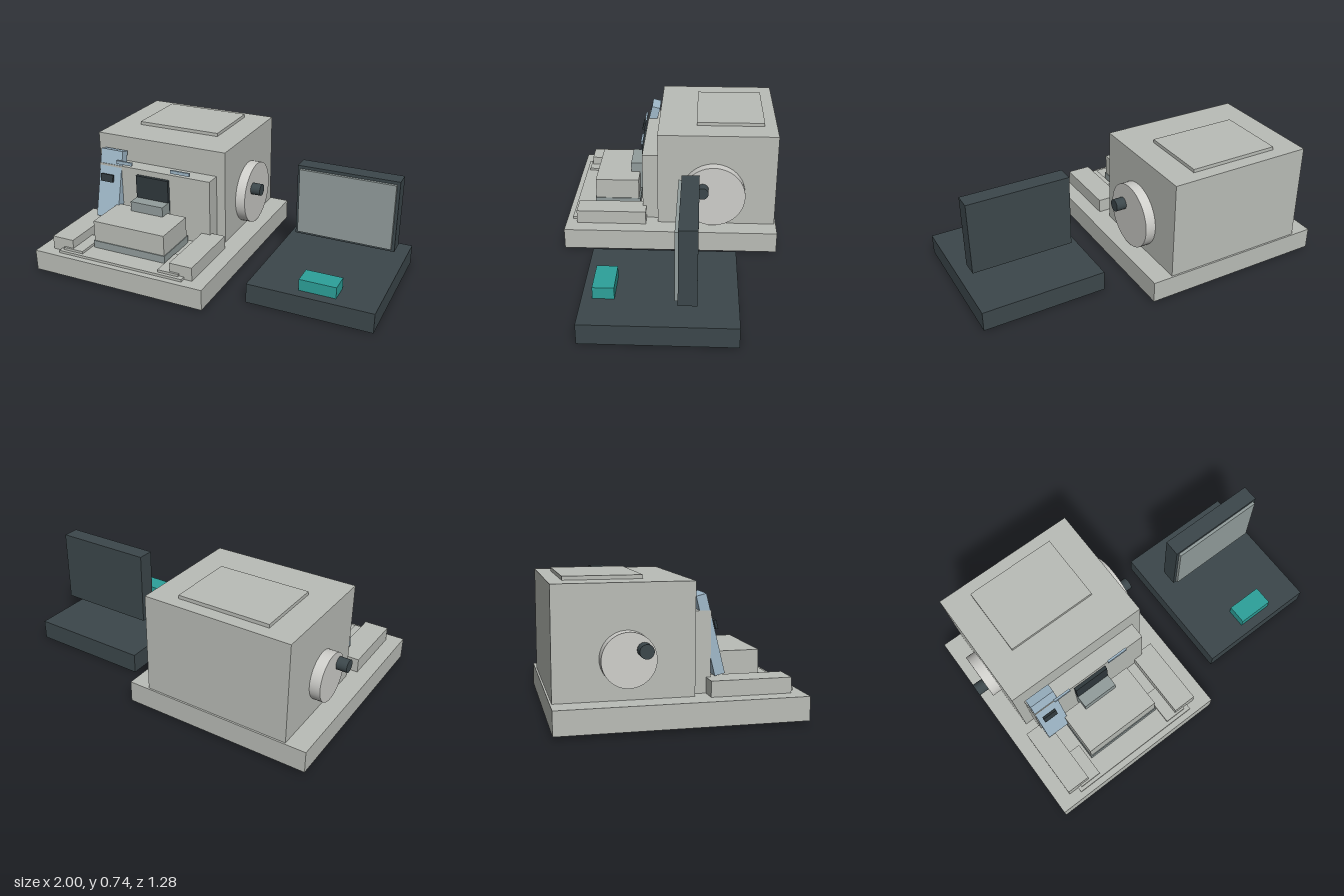
import * as THREE from 'three';

const material = (name, color) => {
  const m = new THREE.MeshStandardMaterial({ color });
  m.name = name;
  return m;
};

export function createModel() {
  const grey = material('body grey', 0xbabdb7);
  const silver = material('wheel silver', 0xcfcfcb);
  const dark = material('dark slate', 0x3c474b);
  const black = material('dark trim', 0x2f383c);
  const glass = material('grey glass', 0x929d9c);
  const blue = material('pale blue', 0xa0b9ca);
  const teal = material('teal', 0x2da19a);

  const model = new THREE.Group();
  model.name = 'microtomeWithConsole';

  const add = (name, geometry, mat, x, y, z) => {
    const mesh = new THREE.Mesh(geometry, mat);
    mesh.name = name;
    mesh.position.set(x, y, z);
    model.add(mesh);
    return mesh;
  };
  // Box given by its limits on each axis
  const box = (name, mat, [x0, x1], [y0, y1], [z0, z1]) =>
    add(name, new THREE.BoxGeometry(x1 - x0, y1 - y0, z1 - z0), mat,
      (x0 + x1) / 2, (y0 + y1) / 2, (z0 + z1) / 2);
  // Cylinder lying along x
  const disc = (name, mat, r, x0, x1, y, z) => {
    const g = new THREE.CylinderGeometry(r, r, x1 - x0, 48).rotateZ(Math.PI / 2);
    return add(name, g, mat, (x0 + x1) / 2, y, z);
  };

  // Base plate and feet
  box('basePlate', grey, [-1, 0.095], [0.015, 0.14], [-0.64, 0.64]);
  for (const x of [-0.83, -0.075])
    for (const z of [-0.49, 0.49])
      add('foot', new THREE.CylinderGeometry(0.05, 0.05, 0.03, 32), black, x, 0.015, z);

  // Housing, lid and front housing
  box('housing', grey, [-0.88, -0.025], [0.14, 0.715], [-0.63, 0.08]);
  box('lid', grey, [-0.72, -0.185], [0.715, 0.735], [-0.555, -0.15]);
  box('frontHousing', grey, [-0.825, -0.08], [0.14, 0.56], [0.08, 0.175]);

  // Handwheels with crank knobs
  disc('largeHandwheel', silver, 0.19, -0.03, 0.035, 0.348, -0.255);
  disc('largeWheelKnob', dark, 0.036, 0.03, 0.095, 0.398, -0.19);
  disc('smallHandwheel', silver, 0.137, -0.94, -0.875, 0.348, -0.263);
  disc('smallWheelKnob', dark, 0.036, -1, -0.935, 0.398, -0.19);

  // Specimen head and stepped blade holder
  box('specimenPlate', black, [-0.56, -0.345], [0.3, 0.525], [0.17, 0.195]);
  box('specimenClamp', glass, [-0.56, -0.345], [0.21, 0.385], [0.175, 0.267]);
  box('bladeHolder', grey, [-0.685, -0.22], [0.2, 0.325], [0.21, 0.48]);
  box('bladeHolderFoot', glass, [-0.69, -0.215], [0.155, 0.2], [0.2, 0.485]);

  // Waste tray, then mirrored rails and arm rests
  box('tray', grey, [-0.855, -0.045], [0.14, 0.155], [0.175, 0.605]);
  const mid = -0.455;
  for (const s of [-1, 1]) {
    const span = (a, b) => [mid + s * a, mid + s * b].sort((p, q) => p - q);
    box('armRest', grey, span(0.32, 0.46), [0.14, 0.222], [0.152, 0.573]);
    box('trayRail', grey, span(0.25, 0.38), [0.155, 0.17], [0.38, 0.585]);
  }

  // Leaning blue guard with its small display
  const tilt = -0.245;
  add('guardPanel', new THREE.BoxGeometry(0.15, 0.42, 0.054), blue, -0.745, 0.435, 0.175).rotation.x = tilt;
  add('guardDisplay', new THREE.BoxGeometry(0.084, 0.045, 0.014), black, -0.753, 0.483, 0.21).rotation.x = tilt;

  // Small light strips above the front housing
  box('lightStrip', blue, [-0.695, -0.59], [0.577, 0.597], [0.178, 0.19]);
  box('lightStrip', blue, [-0.328, -0.202], [0.577, 0.597], [0.178, 0.19]);

  // Separate console with monitor and keypad
  box('consoleBase', dark, [0.27, 1], [0, 0.118], [-0.39, 0.44]);
  box('monitor', dark, [0.365, 0.96], [0.22, 0.65], [-0.172, -0.075]);
  box('monitorScreen', glass, [0.382, 0.943], [0.238, 0.632], [-0.08, -0.058]);
  box('keypad', teal, [0.556, 0.77], [0.118, 0.186], [0.264, 0.381]);

  return model;
}
